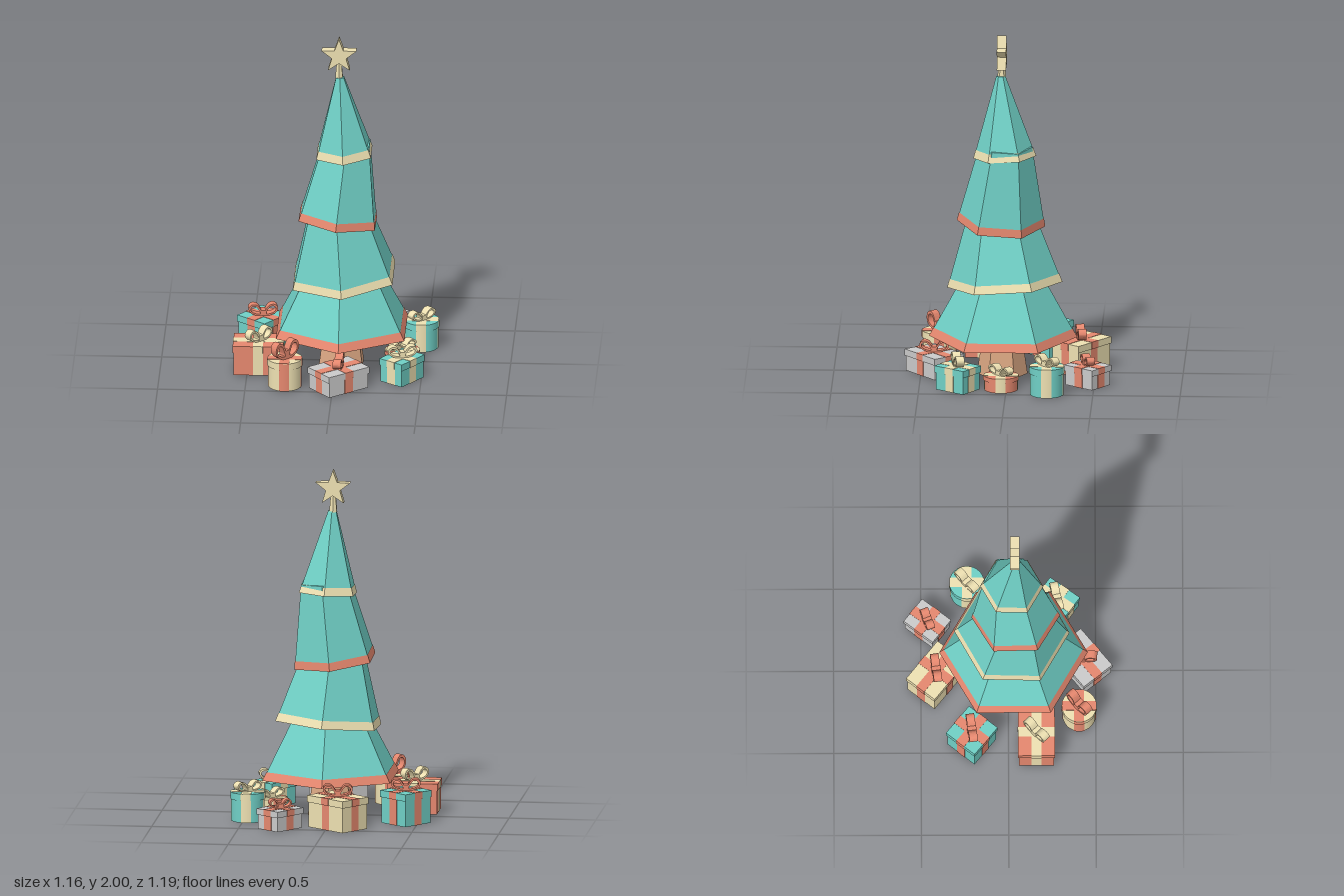
import * as THREE from 'three';

const mat = (color, flatShading = false) =>
  new THREE.MeshStandardMaterial({ color, flatShading });
const COLORS = { teal: 0x70d0c6, red: 0xe6886f, cream: 0xeee1b2, grey: 0xcccccc, wood: 0xd9a682 };
const flat = {}, smooth = {};
for (const k in COLORS) {
  flat[k] = mat(COLORS[k], true);
  smooth[k] = mat(COLORS[k]);
}

function add(parent, name, geometry, material, x = 0, y = 0, z = 0) {
  const mesh = new THREE.Mesh(geometry, material);
  mesh.name = name;
  mesh.position.set(x, y, z);
  parent.add(mesh);
  return mesh;
}

function addGroup(parent, name) {
  const g = new THREE.Group();
  g.name = name;
  parent.add(g);
  return g;
}

// Six-sided skirt of branches with a coloured hem, tilted a little
function addTier(parent, { x, y, z, r, top, h, tiltX, tiltZ, hem }) {
  const tier = addGroup(parent, 'tier');
  tier.position.set(x, y, z);
  tier.rotation.set(tiltX, 0, tiltZ);
  const hemH = 0.048, rHem = r + (top - r) * hemH / h;
  add(tier, 'branches', new THREE.CylinderGeometry(top, r - 0.002, h, 6), flat.teal, 0, h / 2, 0);
  add(tier, 'hem', new THREE.CylinderGeometry(rHem + 0.001, r + 0.001, hemH, 6, 1, true),
    flat[hem], 0, hemH / 2, 0);
}

// One hollow loop of a bow: unit length and height, a teardrop leaning outwards
function bowLoop(length, height, width) {
  const outer = [[0, 0], [0.45, 0.04], [0.88, 0.3], [1, 0.65], [0.8, 0.97], [0.45, 0.95], [0.15, 0.5]];
  const toPoints = (s) => outer.map(([px, py]) => new THREE.Vector2(
    (0.58 + (px - 0.58) * s) * length, (0.53 + (py - 0.53) * s) * height));
  const shape = new THREE.Shape(new THREE.CatmullRomCurve3(
    toPoints(1).map(p => new THREE.Vector3(p.x, p.y, 0)), true).getPoints(24)
    .slice(0, -1).map(p => new THREE.Vector2(p.x, p.y)));
  shape.holes.push(new THREE.Path(new THREE.CatmullRomCurve3(
    toPoints(0.66).map(p => new THREE.Vector3(p.x, p.y, 0)), true).getPoints(24)
    .slice(0, -1).map(p => new THREE.Vector2(p.x, p.y))));
  const geometry = new THREE.ExtrudeGeometry(shape, { depth: width, bevelEnabled: false });
  return geometry.translate(0, 0, -width / 2);
}

function addBow(parent, color, y, length, height, angle) {
  const bow = addGroup(parent, 'bow');
  bow.position.y = y;
  bow.rotation.y = angle;
  const width = 0.048, loop = bowLoop(length / 2, height, width);
  for (const turn of [0, Math.PI]) add(bow, 'bowLoop', loop, smooth[color]).rotation.y = turn;
  add(bow, 'knot', new THREE.BoxGeometry(0.034, height * 0.5, width + 0.004), flat[color], 0, height * 0.25, 0);
}

const RIBBON = 0.057, LIFT = 0.002;

// Box section (body or lid) with ribbons running both ways
function addBoxPart(parent, name, w, h, d, y, color, ribbon) {
  add(parent, name, new THREE.BoxGeometry(w, h, d), flat[color], 0, y + h / 2, 0);
  const rh = h + LIFT, ry = y + rh / 2;
  add(parent, 'ribbon', new THREE.BoxGeometry(w + 2 * LIFT, rh, RIBBON), flat[ribbon], 0, ry, 0);
  add(parent, 'ribbon', new THREE.BoxGeometry(RIBBON, rh, d + 2 * LIFT), flat[ribbon], 0, ry, 0);
}

// Round section with four curved ribbon strips and a cross on top
function addRoundPart(parent, name, r, h, y, color, ribbon) {
  add(parent, name, new THREE.CylinderGeometry(r, r, h, 32), smooth[color], 0, y + h / 2, 0);
  const arc = 2 * Math.asin(RIBBON / 2 / r);
  for (let i = 0; i < 4; i++) {
    add(parent, 'ribbon', new THREE.CylinderGeometry(r + LIFT, r + LIFT, h, 4, 1, true,
      i * Math.PI / 2 - arc / 2, arc), smooth[ribbon], 0, y + h / 2, 0);
  }
  const len = 2 * r * 0.975;
  add(parent, 'ribbon', new THREE.BoxGeometry(len, 2 * LIFT, RIBBON), flat[ribbon], 0, y + h, 0);
  add(parent, 'ribbon', new THREE.BoxGeometry(RIBBON, 2 * LIFT, len), flat[ribbon], 0, y + h, 0);
}

// Present: give w and d for a box, r for a round one; angles in degrees
function addGift(parent, g) {
  const gift = addGroup(parent, g.r ? 'roundGift' : 'boxGift');
  gift.position.set(g.x, 0, g.z);
  const turn = THREE.MathUtils.degToRad(g.turn || 0);
  gift.rotation.y = turn;
  const lid = Math.min(0.04, g.h * 0.3), inset = 0.006;
  if (g.r) {
    addRoundPart(gift, 'giftBody', g.r - inset, g.h - lid, 0, g.color, g.ribbon);
    addRoundPart(gift, 'giftLid', g.r, lid, g.h - lid, g.color, g.ribbon);
  } else {
    addBoxPart(gift, 'giftBody', g.w - 2 * inset, g.h - lid, g.d - 2 * inset, 0, g.color, g.ribbon);
    addBoxPart(gift, 'giftLid', g.w, lid, g.d, g.h - lid, g.color, g.ribbon);
  }
  addBow(gift, g.ribbon, g.h, g.bowL || 0.17, g.bowH,
    THREE.MathUtils.degToRad(g.bow) - turn);
}

export function createModel() {
  const model = new THREE.Group();
  model.name = 'decoratedTree';

  // Tree
  const tree = addGroup(model, 'tree');
  add(tree, 'trunk', new THREE.CylinderGeometry(0.11, 0.145, 0.24, 6), flat.wood, 0.03, 0.12, 0.035);
  const tiers = [
    { x: 0.033, y: 0.22, z: 0.03, r: 0.424, top: 0.16, h: 0.48, tiltX: 0, tiltZ: 0, hem: 'red' },
    { x: 0.045, y: 0.53, z: 0.02, r: 0.33, top: 0.175, h: 0.46, tiltX: 0.06, tiltZ: 0.078, hem: 'cream' },
    { x: 0.01, y: 0.885, z: 0.043, r: 0.253, top: 0.15, h: 0.48, tiltX: -0.065, tiltZ: -0.11, hem: 'red' },
    { x: 0.047, y: 1.287, z: 0.02, r: 0.18, top: 0.026, h: 0.475, tiltX: 0.05, tiltZ: 0.05, hem: 'cream' },
  ];
  for (const t of tiers) addTier(tree, t);

  // Star and its socket
  const star = addGroup(model, 'starTopper');
  star.position.set(0.018, 0, 0.038);
  add(star, 'starSocket', new THREE.CylinderGeometry(0.016, 0.025, 0.1, 6), flat.cream, 0, 1.805, 0);
  const points = [];
  for (let i = 0; i < 10; i++) {
    const a = Math.PI / 2 + i * Math.PI / 5, r = i % 2 ? 0.043 : 0.105;
    points.push(new THREE.Vector2(Math.cos(a) * r, Math.sin(a) * r));
  }
  const starGeometry = new THREE.ExtrudeGeometry(new THREE.Shape(points), { depth: 0.054, bevelEnabled: false });
  add(star, 'star', starGeometry.translate(0, 0, -0.027), flat.cream, 0, 1.895, 0);

  // Presents around the trunk
  const gifts = [
    { x: -0.062, z: -0.413, w: 0.29, d: 0.208, h: 0.185, turn: -38.4, color: 'cream', ribbon: 'red', bow: 8, bowH: 0.07 },
    { x: 0.265, z: -0.462, w: 0.172, d: 0.21, h: 0.118, turn: -38, color: 'grey', ribbon: 'red', bow: 20, bowH: 0.055, bowL: 0.13 },
    { x: 0.478, z: -0.236, r: 0.1, h: 0.168, color: 'teal', ribbon: 'cream', bow: 42, bowH: 0.06 },
    { x: 0.38, z: 0.03, r: 0.1, h: 0.085, color: 'red', ribbon: 'cream', bow: 42, bowH: 0.055 },
    { x: 0.39, z: 0.278, w: 0.165, d: 0.21, h: 0.14, turn: -36, color: 'teal', ribbon: 'cream', bow: 13, bowH: 0.068 },
    { x: 0.033, z: 0.424, w: 0.286, d: 0.21, h: 0.127, turn: 39, color: 'grey', ribbon: 'red', bow: 86, bowH: 0.066 },
    { x: -0.275, z: 0.405, r: 0.1, h: 0.17, color: 'cream', ribbon: 'red', bow: 43, bowH: 0.105 },
    { x: -0.437, z: 0.16, w: 0.29, d: 0.21, h: 0.178, color: 'red', ribbon: 'cream', bow: 44, bowH: 0.075 },
    { x: -0.43, z: -0.21, w: 0.21, d: 0.21, h: 0.19, turn: -39, color: 'teal', ribbon: 'red', bow: 8, bowH: 0.07 },
  ];
  const presents = addGroup(model, 'presents');
  for (const g of gifts) addGift(presents, g);
  return model;
}
